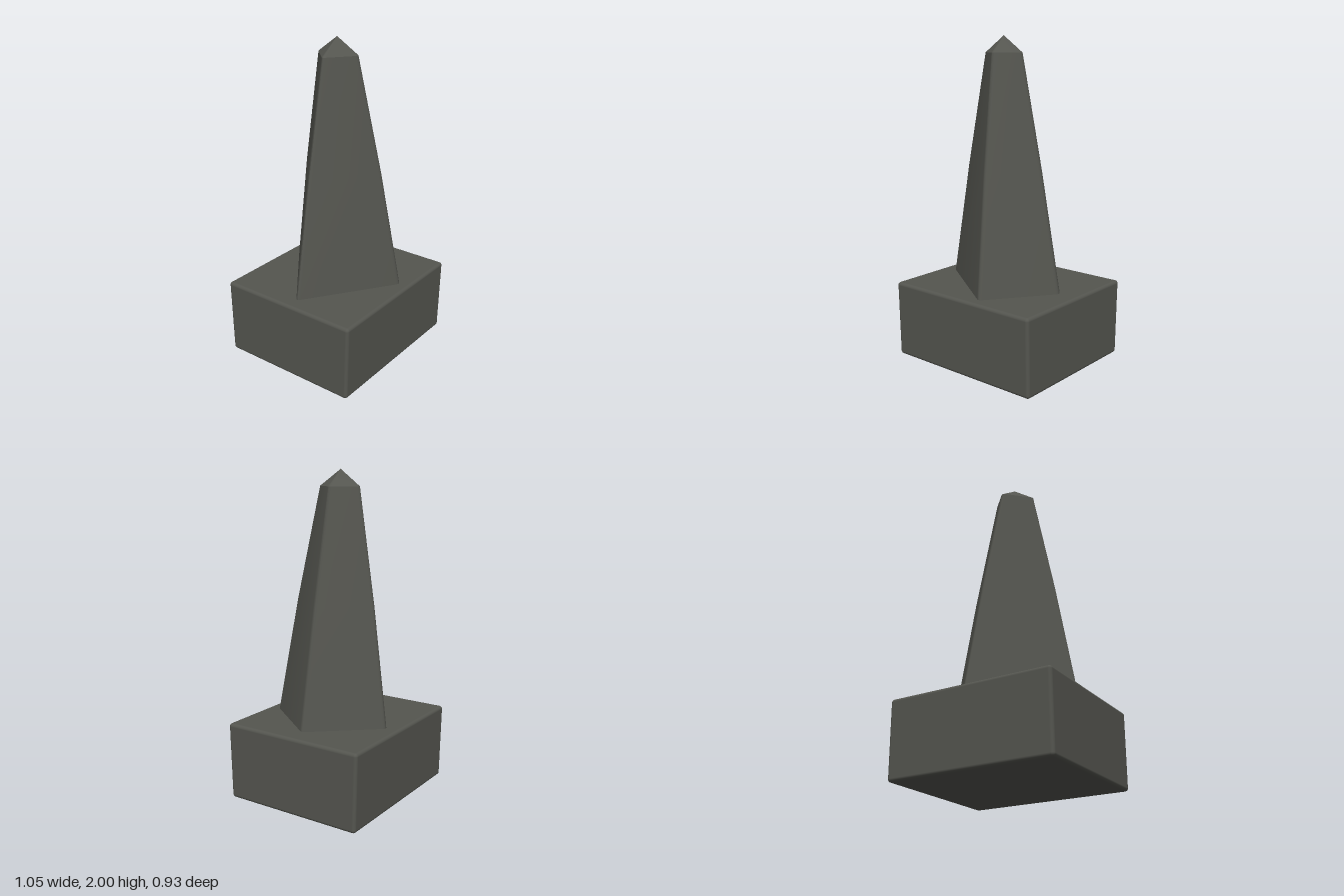
import * as THREE from 'three';
import { toCreasedNormals } from 'three/addons/utils/BufferGeometryUtils.js';
import { RoundedBoxGeometry } from 'three/addons/geometries/RoundedBoxGeometry.js';

const STEPS = 4; // segments per softened corner

// Four-cornered cross-section with slightly rounded corners, as [x, y, z] points
function ring(corners, y, round) {
  const pts = corners.map(([x, z]) => new THREE.Vector2(x, z));
  const out = [];
  pts.forEach((p, i) => {
    const toward = (q) => p.clone().add(q.clone().sub(p).setLength(round));
    const curve = new THREE.QuadraticBezierCurve(toward(pts[(i + 3) % 4]), p, toward(pts[(i + 1) % 4]));
    for (const c of curve.getPoints(STEPS)) out.push([c.x, y, c.y]);
  });
  return out;
}

// Skin consecutive rings into a closed-round surface
function loft(rings, crease) {
  const pos = rings.flat(2);
  const n = rings[0].length;
  const index = [];
  for (let r = 0; r < rings.length - 1; r++) {
    for (let i = 0; i < n; i++) {
      const j = (i + 1) % n;
      const a = r * n + i, b = r * n + j, c = a + n, d = b + n;
      index.push(a, b, d, a, d, c);
    }
  }
  const geo = new THREE.BufferGeometry();
  geo.setAttribute('position', new THREE.Float32BufferAttribute(pos, 3));
  geo.setIndex(index);
  return toCreasedNormals(geo, crease);
}

export function createModel() {
  const group = new THREE.Group();
  group.name = 'obelisk';
  const stone = new THREE.MeshStandardMaterial({ color: 0x54554f });
  stone.name = 'dark grey stone';

  // Plinth, narrowing slightly towards the ground
  const plinthGeo = new RoundedBoxGeometry(1.05, 0.48, 0.93, 4, 0.02);
  plinthGeo.translate(0, 0.24, 0);
  const p = plinthGeo.attributes.position;
  for (let i = 0; i < p.count; i++) {
    const low = 1 - p.getY(i) / 0.48;
    p.setZ(i, p.getZ(i) * (1 - 0.025 * low));
  }
  const plinth = new THREE.Mesh(plinthGeo, stone);
  plinth.name = 'plinth';
  group.add(plinth);

  // Tapering shaft with an uneven diamond section: left, front, right, back corners
  const foot = [[-0.447, 0.02], [0.108, 0.405], [0.406, 0], [0.07, -0.39]];
  const neck = [[-0.172, 0.015], [0.0, 0.147], [0.111, 0], [-0.018, -0.136]];
  const middle = foot.map(([x, z], i) => [
    (x + neck[i][0]) * 0.51, (z + neck[i][1]) * 0.515,
  ]);
  const shaft = new THREE.Mesh(loft([
    ring(foot, 0.47, 0.025), ring(middle, 1.2, 0.025), ring(neck, 1.9, 0.02),
  ], 0.6), stone);
  shaft.name = 'shaft';
  group.add(shaft);

  // Low pyramid cap closing to a small blunt tip
  const tip = [-0.027, 0.01];
  const shrink = (k) => neck.map(([x, z]) => [tip[0] + (x - tip[0]) * k, tip[1] + (z - tip[1]) * k]);
  const cap = new THREE.Mesh(loft([
    ring(neck, 1.9, 0.02), ring(shrink(0.1), 1.99, 0.002), ring(shrink(0.001), 2, 0.00002),
  ], 0.4), stone);
  cap.name = 'pyramidCap';
  group.add(cap);

  return group;
}
